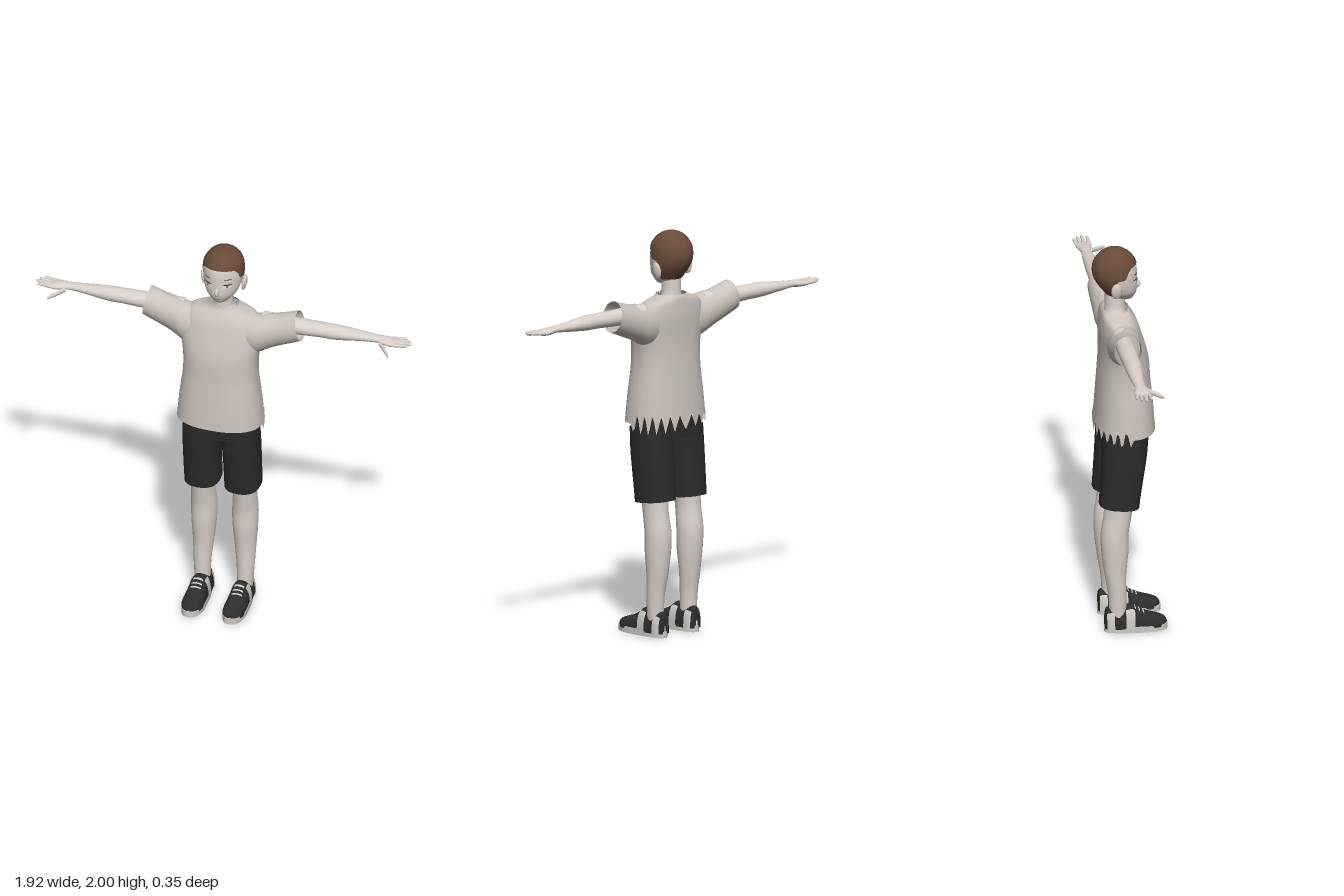
import * as THREE from 'three';

const mat = (name, color, side = THREE.FrontSide) => {
  const m = new THREE.MeshStandardMaterial({ color, side });
  m.name = name;
  return m;
};

// Catmull-Rom resampling of section rows
function smooth(rows, n) {
  const out = [], last = rows.length - 1;
  for (let k = 0; k <= n; k++) {
    const p = (k / n) * last, i = Math.min(Math.floor(p), last - 1), t = p - i;
    const [a, b, c, d] = [Math.max(i - 1, 0), i, i + 1, Math.min(i + 2, last)].map((q) => rows[q]);
    out.push(b.map((_, q) => b[q] + 0.5 * t * (c[q] - a[q]
      + t * (2 * a[q] - 5 * b[q] + 4 * c[q] - d[q] + t * (3 * (b[q] - c[q]) + d[q] - a[q])))));
  }
  return out;
}

// Linear look-up of a row by its first value
function rowAt(rows, t) {
  let i = 0;
  while (i < rows.length - 2 && rows[i + 1][0] < t) i++;
  const a = rows[i], b = rows[i + 1];
  const f = THREE.MathUtils.clamp((t - a[0]) / (b[0] - a[0]), 0, 1);
  return a.map((v, q) => v + (b[q] - v) * f);
}

// Skin over oval sections; a row is [position, centre1, radius1, centre2, radius2]
function loft(rows, { axis = 'y', n = 32, power = 1, arc = null, tweak = null } = {}) {
  const pos = [], idx = [], cols = arc ? n + 1 : n;
  const pw = (v) => Math.sign(v) * Math.abs(v) ** power;
  rows.forEach(([t, c1, r1, c2, r2], i) => {
    for (let j = 0; j < cols; j++) {
      const a = arc ? arc[0] + (arc[1] - arc[0]) * j / n : j / n * Math.PI * 2;
      const u = c1 + r1 * pw(Math.cos(a)), w = r2 * pw(Math.sin(a));
      const v = axis === 'y' ? new THREE.Vector3(u, t, c2 + w)
        : axis === 'x' ? new THREE.Vector3(t, u, c2 - w) : new THREE.Vector3(u, c2 - w, t);
      if (tweak) tweak(v, i, j, a);
      pos.push(v.x, v.y, v.z);
      if (i < rows.length - 1 && j < n) {
        const p = i * cols + j, q = i * cols + (j + 1) % cols;
        idx.push(p, p + cols, q, q, p + cols, q + cols);
      }
    }
  });
  const g = new THREE.BufferGeometry();
  g.setAttribute('position', new THREE.Float32BufferAttribute(pos, 3));
  g.setIndex(idx);
  g.computeVertexNormals();
  return g;
}

// Copy for the other side of the body
function mirrored(geo) {
  const g = geo.clone().scale(-1, 1, 1), ix = g.index;
  for (let i = 0; i < ix.count; i += 3) {
    const b = ix.getX(i + 1);
    ix.setX(i + 1, ix.getX(i + 2));
    ix.setX(i + 2, b);
  }
  return g;
}

export function createModel() {
  const model = new THREE.Group();
  model.name = 'boy';
  const skin = mat('skin', 0xd9d0c9), shirt = mat('shirt cloth', 0xcbc3bc, THREE.DoubleSide);
  const shorts = mat('shorts cloth', 0x2b2b2b, THREE.DoubleSide), hair = mat('hair', 0x6a4b39);
  const shoe = mat('shoe black', 0x2e2e2e), trim = mat('shoe trim', 0xcfcac5);
  const white = mat('eye white', 0xf2f0ee), dark = mat('eye dark', 0x2a2422), lip = mat('lip', 0x8a7770);

  const add = (name, geo, m) => {
    const mesh = new THREE.Mesh(geo, m);
    mesh.name = name;
    model.add(mesh);
  };
  const pair = (name, geo, m) => {
    add(name + 'Left', geo, m);
    add(name + 'Right', mirrored(geo), m);
  };

  // Head
  const head = smooth([
    [1.728, 0, 0.004, 0.003, 0.004], [1.735, 0, 0.03, -0.008, 0.032], [1.755, 0, 0.055, -0.029, 0.066],
    [1.78, 0, 0.075, -0.035, 0.081], [1.81, 0, 0.088, -0.046, 0.094], [1.85, 0, 0.097, -0.058, 0.105],
    [1.89, 0, 0.098, -0.062, 0.108], [1.93, 0, 0.092, -0.063, 0.1], [1.965, 0, 0.07, -0.063, 0.075],
    [1.985, 0, 0.046, -0.063, 0.047], [1.994, 0, 0.02, -0.063, 0.02], [1.996, 0, 0.001, -0.063, 0.001],
  ], 44);
  add('head', loft(head, { n: 40 }), skin);
  add('neck', loft(smooth([[1.6, 0, 0.12, -0.06, 0.06], [1.655, 0, 0.075, -0.062, 0.055],
    [1.69, 0, 0.048, -0.062, 0.05], [1.78, 0, 0.045, -0.06, 0.05]], 12)), skin);
  add('nose', new THREE.SphereGeometry(1, 16, 12).scale(0.011, 0.022, 0.018).translate(0, 1.803, 0.047), skin);
  pair('ear', new THREE.SphereGeometry(1, 16, 12).scale(0.013, 0.042, 0.026)
    .rotateZ(-0.15).translate(0.103, 1.815, -0.07), skin);

  // Hair follows the skull above a hairline that drops behind the ears
  const hairline = [[-1, 1.765], [-0.35, 1.765], [-0.2, 1.8], [-0.08, 1.86], [0.35, 1.865], [0.45, 1.895], [0.65, 1.918], [1, 1.922]];
  add('hair', loft(Array.from({ length: 19 }, (_, i) => [i / 18, 0, 0, 0, 0]), {
    n: 64,
    tweak: (v, i, j, a) => {
      const low = rowAt(hairline, Math.sin(a))[1];
      const y = low + (1.996 - low) * Math.sin(i / 18 * Math.PI / 2);
      const [, , rx, cz, rz] = rowAt(head, y);
      const off = i === 18 ? 0 : 0.004;
      v.set((rx + off) * Math.cos(a), y + (y - 1.75) / 0.25 * 0.004, cz + (rz + off) * Math.sin(a));
    },
  }), hair);

  // Thin face details laid onto the head surface
  const facePlate = (x, y, w, h, off) => {
    const g = new THREE.CircleGeometry(1, 20).scale(w, h, 1).translate(x, y, 0), p = g.attributes.position;
    for (let i = 0; i < p.count; i++) {
      const [, , rx, cz, rz] = rowAt(head, p.getY(i));
      p.setZ(i, cz + rz * Math.sqrt(Math.max(0, 1 - (p.getX(i) / rx) ** 2)) + off);
    }
    g.computeVertexNormals();
    return g;
  };
  pair('eye', facePlate(0.05, 1.84, 0.02, 0.01, 0.003), white);
  pair('iris', facePlate(0.05, 1.841, 0.006, 0.008, 0.005), lip);
  pair('lash', facePlate(0.051, 1.85, 0.022, 0.003, 0.005), dark);
  pair('eyebrow', facePlate(0.05, 1.878, 0.019, 0.002, 0.003), dark);
  add('mouth', facePlate(0, 1.764, 0.016, 0.002, 0.003), lip);

  // Shirt with a ragged back hem and a ragged front neckline
  const body = smooth([
    [1.06, 0, 0.215, -0.018, 0.148], [1.2, 0, 0.202, -0.018, 0.137], [1.32, 0, 0.187, -0.02, 0.127],
    [1.42, 0, 0.187, -0.02, 0.12], [1.5, 0, 0.2, -0.028, 0.11], [1.57, 0, 0.2, -0.04, 0.1],
    [1.62, 0, 0.19, -0.047, 0.09], [1.655, 0, 0.16, -0.055, 0.078], [1.675, 0, 0.1, -0.06, 0.07],
    [1.69, 0, 0.076, -0.06, 0.062],
  ], 27);
  add('shirtBody', loft(body, {
    n: 96, power: 0.85,
    tweak: (v, i, j, a) => {
      if (i === 0 && Math.sin(a) < 0.05) v.y = [1.025, 1.075, 1.1, 1.05][j % 4] + 0.012 * Math.sin(j * 1.7);
      if (i === 27 && Math.sin(a) > 0.3) v.y -= j % 4 < 2 ? 0.012 : -0.006;
    },
  }), shirt);
  pair('sleeve', loft(smooth([
    [0.1, 1.545, 0.11, -0.04, 0.075], [0.18, 1.555, 0.102, -0.045, 0.085], [0.22, 1.568, 0.096, -0.05, 0.081],
    [0.28, 1.587, 0.085, -0.058, 0.073], [0.39, 1.625, 0.075, -0.062, 0.068],
  ], 16), { axis: 'x', tweak: (v) => { if (v.x > 0.25) v.x -= (v.y - 1.62) * (v.x - 0.25) * 1.4; } }), shirt);

  // Arms and hands
  pair('arm', loft(smooth([
    [0.2, 1.62, 0.045, -0.065, 0.045], [0.4, 1.62, 0.04, -0.065, 0.045], [0.5, 1.622, 0.037, -0.065, 0.043],
    [0.58, 1.622, 0.036, -0.065, 0.042], [0.7, 1.622, 0.024, -0.07, 0.032], [0.78, 1.622, 0.017, -0.07, 0.026],
    [0.82, 1.619, 0.018, -0.07, 0.033], [0.865, 1.617, 0.014, -0.07, 0.04], [0.885, 1.617, 0.007, -0.07, 0.035],
    [0.888, 1.617, 0.001, -0.07, 0.01],
  ], 40), { axis: 'x', n: 24 }), skin);
  const finger = (name, x0, y0, z0, x1, y1, z1, r) => pair(name, loft(
    [[0, 1], [0.5, 0.95], [0.85, 0.8], [0.96, 0.5], [1, 0.02]].map(([t, k]) =>
      [x0 + (x1 - x0) * t, y0 + (y1 - y0) * t, r * k, z0 + (z1 - z0) * t, r * k]), { axis: 'x', n: 12 }), skin);
  [[0.925, -0.108], [0.95, -0.088], [0.96, -0.066], [0.945, -0.04]].forEach(([tip, z], i) =>
    finger('finger' + (i + 1), 0.85, 1.617, -0.1 + i * 0.02, tip, 1.624, z, 0.0095));
  finger('thumb', 0.8, 1.612, -0.05, 0.872, 1.595, 0.034, 0.013);

  // Shorts
  add('shortsHips', loft([[0.98, 0, 0.188, -0.025, 0.11], [1.03, 0, 0.188, -0.025, 0.113],
    [1.12, 0, 0.178, -0.022, 0.11]], { n: 48, power: 0.75 }), shorts);
  pair('shortsLeg', loft(smooth([
    [0.672, 0.102, 0.088, -0.058, 0.098], [0.8, 0.102, 0.089, -0.045, 0.103],
    [0.92, 0.1, 0.09, -0.033, 0.109], [1.03, 0.096, 0.09, -0.026, 0.112],
  ], 12), { power: 0.8, tweak: (v, i) => { if (i === 0) v.y -= (v.z + 0.058) * 0.1; } }), shorts);

  // Bare legs
  pair('leg', loft(smooth([
    [0.08, 0.108, 0.038, -0.065, 0.042], [0.2, 0.11, 0.044, -0.068, 0.045], [0.3, 0.107, 0.052, -0.077, 0.053],
    [0.42, 0.105, 0.062, -0.079, 0.066], [0.52, 0.105, 0.064, -0.08, 0.068], [0.64, 0.107, 0.058, -0.063, 0.07],
    [0.82, 0.102, 0.07, -0.05, 0.08],
  ], 30)), skin);

  // Shoes: flat sole, rounded upper, light panels and laces
  const heel = (v) => { v.x = 0.105 + (v.x - 0.105) * THREE.MathUtils.clamp(0.92 + v.z * 1.3, 0.8, 1.04); };
  const foot = (y, k) => [y, 0.105, 0.055 * k, 0.024, 0.156 * k];
  pair('sole', loft([foot(0, 0), foot(0, 1), foot(0, 1), foot(0.032, 1), foot(0.032, 1), foot(0.032, 0)],
    { power: 0.75, tweak: heel }), trim);
  const upper = smooth([
    [-0.13, 0.105, 0.005, 0.03, 0.03], [-0.125, 0.105, 0.03, 0.03, 0.085], [-0.1, 0.105, 0.043, 0.03, 0.1],
    [-0.04, 0.105, 0.047, 0.03, 0.098], [0, 0.105, 0.049, 0.03, 0.106], [0.03, 0.105, 0.051, 0.03, 0.084],
    [0.08, 0.105, 0.054, 0.03, 0.058], [0.13, 0.105, 0.05, 0.03, 0.042], [0.165, 0.105, 0.03, 0.03, 0.027],
    [0.177, 0.105, 0.004, 0.03, 0.006],
  ], 36);
  const flat = (v) => { v.y = Math.max(v.y, 0.02); };
  pair('shoeUpper', loft(upper, { axis: 'z', power: 0.85, tweak: flat }), shoe);
  const panel = (name, z0, z1, a0, a1) => pair(name, loft(Array.from({ length: 7 }, (_, i) => {
    const [z, cx, rx, cy, ry] = rowAt(upper, z0 + (z1 - z0) * i / 6);
    return [z, cx, rx + 0.003, cy, ry + 0.003];
  }), { axis: 'z', n: 12, power: 0.85, arc: [a0, a1], tweak: flat }), trim);
  panel('outerStripe', -0.03, 0.015, -0.95, 0.1);
  panel('innerStripe', -0.03, 0.015, Math.PI - 0.1, Math.PI + 0.95);
  panel('outerHeelPanel', -0.122, -0.085, -0.8, 0.1);
  panel('innerHeelPanel', -0.122, -0.085, Math.PI - 0.1, Math.PI + 0.8);
  [0.015, 0.035, 0.055].forEach((z, i) => panel('lace' + (i + 1), z, z + 0.007, -2.0, -1.14));

  return model;
}
